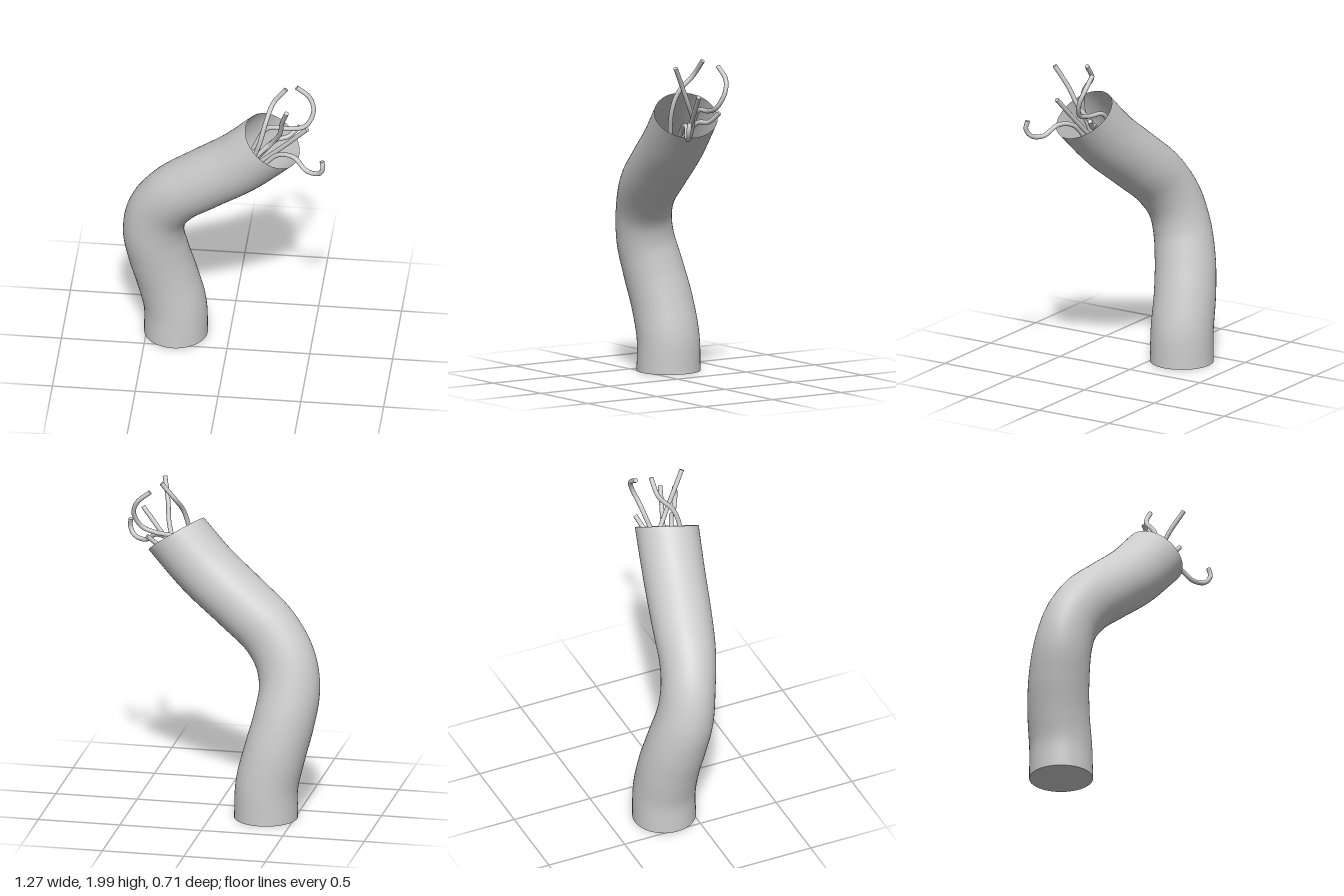
import * as THREE from 'three';

const V = (a) => new THREE.Vector3(...a);
const curveOf = (pts) => new THREE.CatmullRomCurve3(pts.map(V));

// Open sleeve: rings swept along a bent path, flat at the base and tilted at the rim
function sleeveGeometry(path, rimDir, rows, sides) {
  const pos = [], idx = [];
  for (let i = 0; i <= rows; i++) {
    const t = i / rows;
    const c = path.getPointAt(t);
    const dir = path.getTangentAt(t);
    dir.lerp(new THREE.Vector3(0, 1, 0), Math.max(0, 1 - t / 0.08));
    dir.lerp(rimDir, Math.max(0, (t - 0.88) / 0.12)).normalize();
    const u = new THREE.Vector3(0, 0, 1).addScaledVector(dir, -dir.z).normalize();
    const v = new THREE.Vector3().crossVectors(dir, u);
    // slightly slimmer in the bend, fuller at both ends
    const r = 0.184 + 0.008 * Math.pow(Math.abs(2 * t - 1), 2);
    const pinch = 1 - 0.12 * Math.exp(-Math.pow((t - 0.5) / 0.13, 2));
    for (let j = 0; j <= sides; j++) {
      const a = (j / sides) * Math.PI * 2;
      const p = c.clone()
        .addScaledVector(u, r * pinch * Math.cos(a))
        .addScaledVector(v, r * Math.sin(a));
      pos.push(p.x, p.y, p.z);
      if (i < rows && j < sides) {
        const k = i * (sides + 1) + j, n = k + sides + 1;
        idx.push(k, k + 1, n, k + 1, n + 1, n);
      }
    }
  }
  const g = new THREE.BufferGeometry();
  g.setAttribute('position', new THREE.Float32BufferAttribute(pos, 3));
  g.setIndex(idx);
  g.computeVertexNormals();
  // match the normals along the seam
  const nor = g.attributes.normal;
  for (let i = 0; i <= rows; i++) {
    const a = i * (sides + 1), b = a + sides;
    const n = new THREE.Vector3().fromBufferAttribute(nor, a)
      .add(new THREE.Vector3().fromBufferAttribute(nor, b)).normalize();
    nor.setXYZ(a, n.x, n.y, n.z);
    nor.setXYZ(b, n.x, n.y, n.z);
  }
  return g;
}

// Round wire with flat ends
function makeWire(name, pts, mat) {
  const r = 0.014, curve = curveOf(pts), wire = new THREE.Group();
  wire.name = name;
  const strand = new THREE.Mesh(new THREE.TubeGeometry(curve, 48, r, 12), mat);
  strand.name = 'strand';
  wire.add(strand);
  for (const [t, sign] of [[0, -1], [1, 1]]) {
    const end = new THREE.Mesh(new THREE.CircleGeometry(r, 12), mat);
    end.name = 'wireEnd';
    end.position.copy(curve.getPoint(t));
    end.quaternion.setFromUnitVectors(new THREE.Vector3(0, 0, 1), curve.getTangent(t).multiplyScalar(sign));
    wire.add(end);
  }
  return wire;
}

export function createModel() {
  const model = new THREE.Group();
  model.name = 'bentCable';
  const mat = new THREE.MeshStandardMaterial({ color: 0xcccccc });
  const thin = new THREE.MeshStandardMaterial({ color: 0xcccccc, side: THREE.DoubleSide });

  // Sleeve
  const path = curveOf([
    [-0.325, 0, -0.16], [-0.33, 0.2, -0.16], [-0.375, 0.4, -0.15], [-0.425, 0.6, -0.12],
    [-0.452, 0.79, -0.08], [-0.42, 0.96, -0.045], [-0.315, 1.12, 0], [-0.13, 1.275, 0.045],
    [0.09, 1.45, 0.095], [0.29, 1.65, 0.14],
  ]);
  const rimDir = new THREE.Vector3(0.55, 0.8, 0.22).normalize();
  const sleeve = new THREE.Mesh(sleeveGeometry(path, rimDir, 80, 48), thin);
  sleeve.name = 'sleeve';
  model.add(sleeve);

  // Closed base
  const base = new THREE.Mesh(new THREE.CircleGeometry(0.192, 48), mat);
  base.name = 'base';
  base.rotation.x = Math.PI / 2;
  base.position.set(-0.325, 0, -0.16);
  model.add(base);

  // Loose wires coming out of the open end
  const wires = {
    wavyWire: [[0.15, 1.45, 0.16], [0.22, 1.67, 0.195], [0.25, 1.79, 0.165], [0.29, 1.89, 0.085], [0.365, 1.985, 0.07]],
    tallWire: [[0.17, 1.43, 0.05], [0.29, 1.61, 0.09], [0.335, 1.71, 0.15], [0.355, 1.83, 0.21], [0.39, 1.96, 0.285]],
    curledWire: [[0.16, 1.5, 0.02], [0.25, 1.66, 0.025], [0.39, 1.68, 0.045], [0.48, 1.71, 0.05],
      [0.525, 1.8, 0.02], [0.5, 1.88, -0.005], [0.42, 1.95, -0.005]],
    straightWire: [[0.17, 1.42, 0.09], [0.34, 1.6, 0.14], [0.505, 1.79, 0.195]],
    hookedWire: [[0.2, 1.43, 0.15], [0.33, 1.585, 0.19], [0.43, 1.605, 0.235], [0.51, 1.55, 0.285],
      [0.585, 1.56, 0.325], [0.615, 1.61, 0.345], [0.61, 1.66, 0.335]],
    shortWire: [[0.15, 1.45, 0.1], [0.3, 1.6, 0.06], [0.37, 1.61, 0.03], [0.44, 1.67, 0]],
  };
  for (const [name, pts] of Object.entries(wires)) model.add(makeWire(name, pts, mat));

  return model;
}
